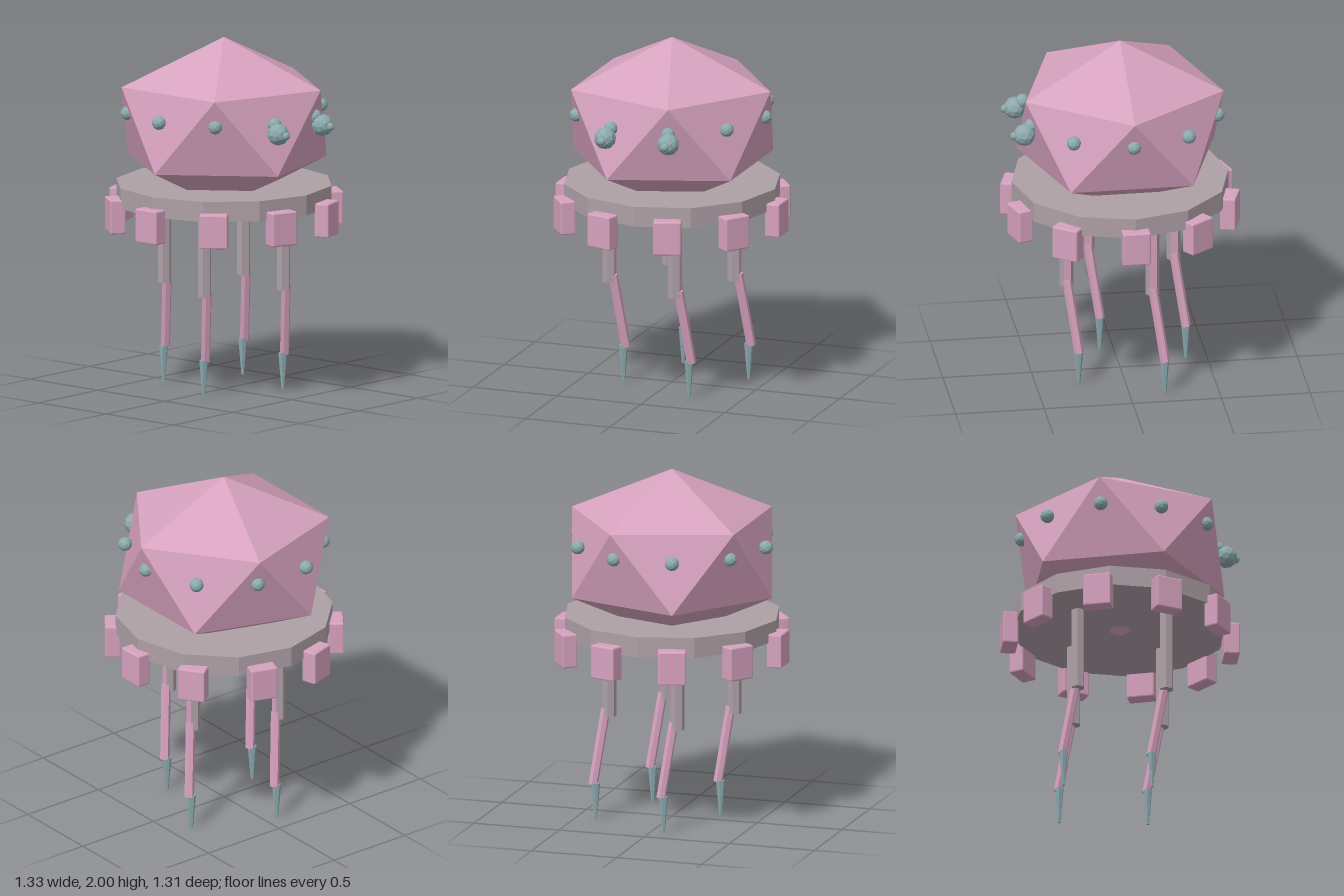
import * as THREE from 'three';
import { ConvexGeometry } from 'three/addons/geometries/ConvexGeometry.js';
import { RoundedBoxGeometry } from 'three/addons/geometries/RoundedBoxGeometry.js';

function flat(name, color) {
  const m = new THREE.MeshStandardMaterial({ color, flatShading: true });
  m.name = name;
  return m;
}

export function createModel() {
  const pink = flat('pink', 0xd6a2be);
  const grey = flat('warm grey', 0xaea0a6);
  const teal = flat('grey teal', 0x8caaae);
  const model = new THREE.Group();
  model.name = 'walker';

  const add = (name, geometry, material, x = 0, y = 0, z = 0, parent = model) => {
    const mesh = new THREE.Mesh(geometry, material);
    mesh.name = name;
    mesh.position.set(x, y, z);
    parent.add(mesh);
    return mesh;
  };

  // Tapered bar between two points
  const bar = (name, a, b, rTop, rBottom, sides, material, parent) => {
    const dir = new THREE.Vector3().subVectors(a, b);
    const mid = a.clone().add(b).multiplyScalar(0.5);
    const mesh = add(name, new THREE.CylinderGeometry(rTop, rBottom, dir.length(), sides),
      material, mid.x, mid.y, mid.z, parent);
    mesh.quaternion.setFromUnitVectors(new THREE.Vector3(0, 1, 0), dir.normalize());
    return mesh;
  };

  // Faceted dome: two poles and two staggered rings of five corners
  const corners = [new THREE.Vector3(0, 2, 0), new THREE.Vector3(0, 1.03, 0)];
  for (let i = 0; i < 10; i++) {
    const a = i * Math.PI / 5;
    corners.push(new THREE.Vector3(0.587 * Math.cos(a), i % 2 ? 1.3 : 1.738, 0.587 * Math.sin(a)));
  }
  add('dome', new ConvexGeometry(corners), pink);

  // Twelve-sided base plate
  add('basePlate', new THREE.CylinderGeometry(0.612, 0.612, 0.115, 12), grey, 0, 1.118, 0);

  // Ten skirt blocks and ten sensor knobs around the body
  const blockGeometry = new RoundedBoxGeometry(0.087, 0.192, 0.157, 1, 0.008);
  const knobGeometry = new THREE.IcosahedronGeometry(0.04, 1);
  for (let i = 0; i < 10; i++) {
    const a = i * Math.PI / 5, c = Math.cos(a), s = Math.sin(a);
    add('skirtBlock', blockGeometry, pink, 0.623 * c, 1.014, 0.623 * s).rotation.y = -a;
    add('knob', knobGeometry, teal, 0.553 * c, 1.59, 0.553 * s);
  }

  // Eyes with protruding pupils
  for (const side of [-1, 1]) {
    add('eye', new THREE.IcosahedronGeometry(0.062, 1), teal, side * 0.188, 1.543, 0.567);
    add('pupil', new THREE.IcosahedronGeometry(0.024, 1), teal, side * 0.188, 1.54, 0.623);
  }

  // Four legs, all leaning the same way below the knee
  const spots = [[0.137, 0.322], [0.322, -0.137], [-0.137, -0.322], [-0.322, 0.137]];
  for (const [x, z] of spots) {
    const leg = new THREE.Group();
    leg.name = 'leg';
    leg.position.set(x, 0, z);
    model.add(leg);
    const p = (px, py, pz) => new THREE.Vector3(px, py, pz);
    const upper = bar('upperLeg', p(0, 1.08, 0), p(0, 0.585, 0), 0.039, 0.039, 6, [grey, pink], leg);
    // The +x side face is pink, the rest grey
    const g = upper.geometry;
    g.clearGroups();
    g.addGroup(0, 6, 0);
    g.addGroup(6, 6, 1);
    g.addGroup(12, g.index.count - 12, 0);
    bar('lowerLeg', p(0.022, 0.625, 0), p(0.077, 0.2, -0.06), 0.027, 0.027, 6, pink, leg);
    bar('claw', p(0.062, 0.208, -0.06), p(0.062, 0, -0.06), 0.026, 0.008, 6, teal, leg);
  }
  return model;
}
